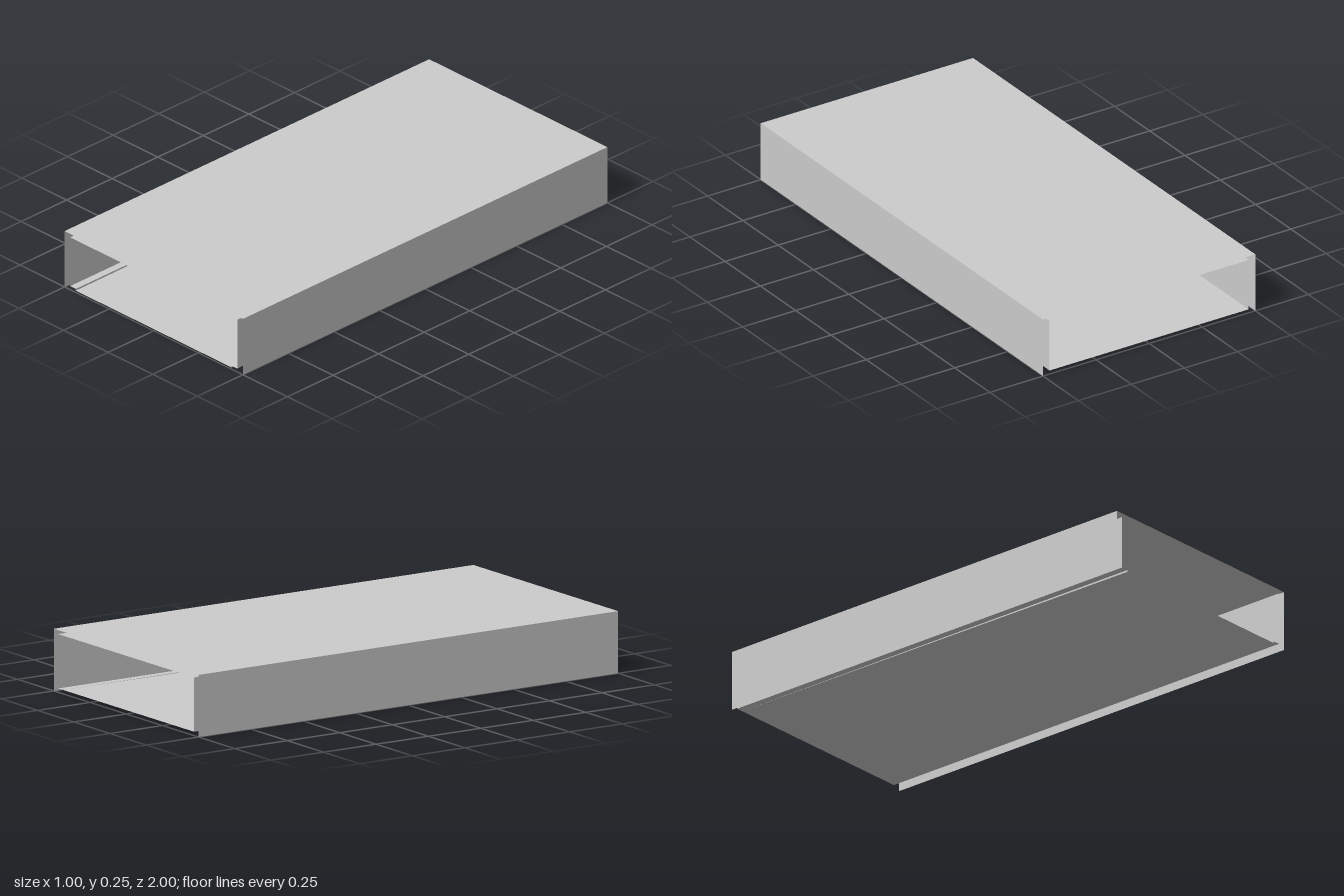
import * as THREE from 'three';

const material = new THREE.MeshStandardMaterial({ color: 0xcccccc, flatShading: true, side: THREE.DoubleSide });

// One thin sheet from three or four corners, given in order around the edge
function sheet(name, ...corners) {
  const geometry = new THREE.BufferGeometry();
  geometry.setAttribute('position', new THREE.Float32BufferAttribute(corners.flat(), 3));
  geometry.setIndex(corners.length === 4 ? [0, 1, 2, 0, 2, 3] : [0, 1, 2]);
  geometry.computeVertexNormals();
  const mesh = new THREE.Mesh(geometry, material);
  mesh.name = name;
  return mesh;
}

// Sheet swept along the full length from the line (x0,y0)-(x1,y1)
const lengthwise = (name, x0, y0, x1, y1) =>
  sheet(name, [x0, y0, 1], [x1, y1, 1], [x1, y1, -1], [x0, y0, -1]);

export function createModel() {
  const model = new THREE.Group();
  model.name = 'openEndedSleeve';

  const outerX = 0.5, outerTop = 0.25;
  const innerX = 0.469, innerTop = 0.234, floorY = 0.0156;
  const rampX = 0.4375, rampY = 0.0078;

  // Outer cover: top and two sides, open underneath and at both ends
  const cover = new THREE.Group();
  cover.name = 'outerCover';
  cover.add(lengthwise('coverTop', -outerX, outerTop, outerX, outerTop));

  // Inner tube, nested inside the cover
  const tube = new THREE.Group();
  tube.name = 'innerTube';
  tube.add(lengthwise('tubeTop', -innerX, innerTop, innerX, innerTop));

  // Sloping floor: level with the flanges at the back, lower at the front
  tube.add(sheet('slopingFloor',
    [-rampX, rampY, 1], [rampX, rampY, 1], [rampX, floorY, -1], [-rampX, floorY, -1]));

  for (const [side, s] of [['left', 1], ['right', -1]]) {
    // corner order runs so that normals point outwards or up
    cover.add(s > 0
      ? lengthwise(side + 'CoverSide', outerX, outerTop, outerX, 0)
      : lengthwise(side + 'CoverSide', -outerX, 0, -outerX, outerTop));
    tube.add(s > 0
      ? lengthwise(side + 'TubeSide', innerX, innerTop, innerX, floorY)
      : lengthwise(side + 'TubeSide', -innerX, floorY, -innerX, innerTop));
    tube.add(s > 0
      ? lengthwise(side + 'FloorFlange', rampX, floorY, innerX, floorY)
      : lengthwise(side + 'FloorFlange', -innerX, floorY, -rampX, floorY));
    // Tapered wall closing the step between flange and sloping floor
    tube.add(sheet(side + 'FloorStep',
      [s * rampX, rampY, 1], [s * rampX, floorY, -1], [s * rampX, floorY, 1]));
  }

  model.add(cover, tube);
  return model;
}
